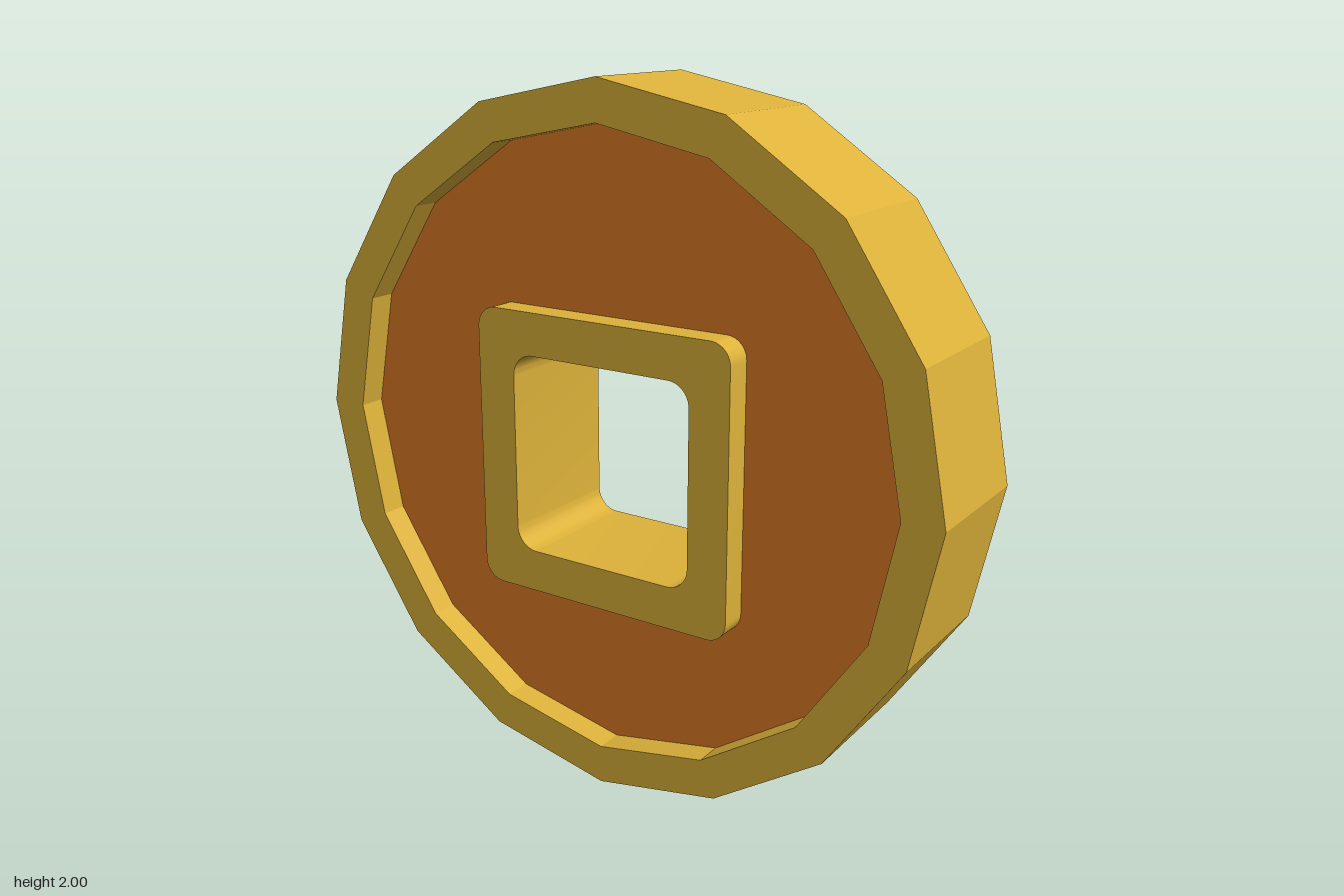
import * as THREE from 'three';
import { toCreasedNormals } from 'three/addons/utils/BufferGeometryUtils.js';

const SIDES = 16;
const CENTRE_Y = 1;
const HOLE_Y = -0.04; // the square hole sits slightly below the disc centre

// Regular polygon outline with a corner pointing straight up
function polygon(radius, Type = THREE.Shape) {
  const points = [];
  for (let i = 0; i < SIDES; i++) {
    const a = (i / SIDES) * Math.PI * 2;
    points.push(new THREE.Vector2(Math.cos(a) * radius, Math.sin(a) * radius));
  }
  return new Type(points);
}

// Square outline with rounded corners
function roundedSquare(half, r, Type = THREE.Shape) {
  const path = new Type();
  const c = half - r;
  path.absarc(c, HOLE_Y + c, r, 0, Math.PI / 2);
  path.absarc(-c, HOLE_Y + c, r, Math.PI / 2, Math.PI);
  path.absarc(-c, HOLE_Y - c, r, Math.PI, Math.PI * 1.5);
  path.absarc(c, HOLE_Y - c, r, Math.PI * 1.5, Math.PI * 2);
  path.closePath();
  return path;
}

// Extrudes a pierced outline, centred on z = 0
function slab(name, outline, hole, depth, material) {
  outline.holes.push(hole);
  const geometry = new THREE.ExtrudeGeometry(outline, { depth, bevelEnabled: false, curveSegments: 6 });
  geometry.translate(0, CENTRE_Y, -depth / 2);
  // crease angle below the polygon's 22.5 degrees keeps its sides faceted
  const mesh = new THREE.Mesh(toCreasedNormals(geometry, THREE.MathUtils.degToRad(20)), material);
  mesh.name = name;
  return mesh;
}

export function createModel() {
  const gold = new THREE.MeshStandardMaterial({ color: 0xddb23a });
  const orange = new THREE.MeshStandardMaterial({ color: 0xdd7a23 });

  const coin = new THREE.Group();
  coin.name = 'coin';
  coin.add(
    // Raised faceted outer rim
    slab('rim', polygon(1), polygon(0.886, THREE.Path), 0.4, gold),
    // Recessed face, tucked under the rim and the frame
    slab('face', polygon(0.9), roundedSquare(0.39, 0.05, THREE.Path), 0.24, orange),
    // Raised frame around the square hole
    slab('holeFrame', roundedSquare(0.41, 0.06), roundedSquare(0.288, 0.065, THREE.Path), 0.4, gold)
  );
  return coin;
}
